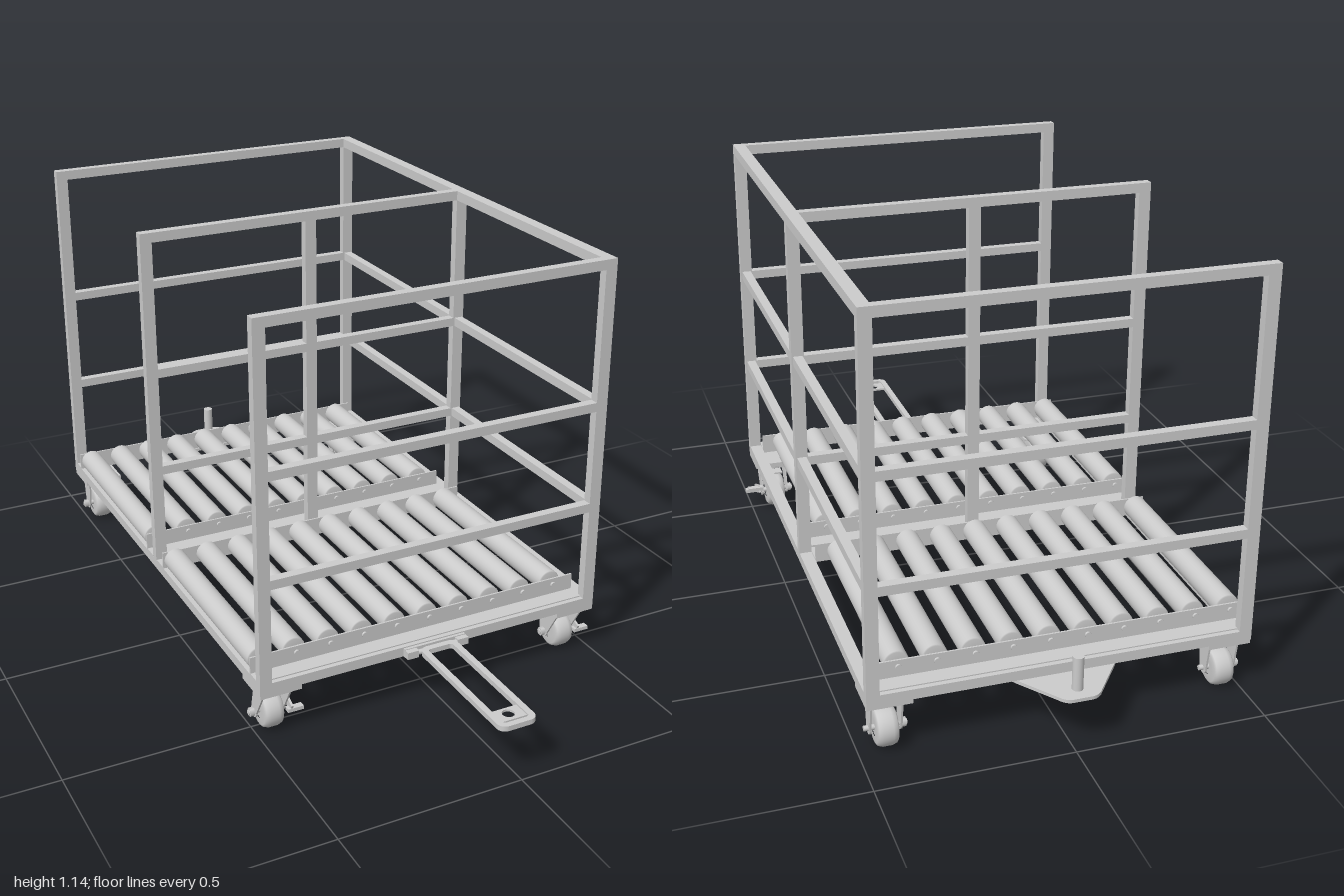
import * as THREE from 'three';

const mat = new THREE.MeshStandardMaterial({ color: 0xcccccc });
// outer limits of the welded frame
const X0 = -0.51, X1 = 0.485, Z0 = -0.885, Z1 = 0.59;
const TW = 0.033, TD = 0.025; // tube width and depth
const MIDX = -0.014, MIDZ = -0.149;

function add(parent, name, geo, x = 0, y = 0, z = 0) {
  const m = new THREE.Mesh(geo, mat);
  m.name = name;
  m.position.set(x, y, z);
  parent.add(m);
  return m;
}

// box given by its limits on each axis
function span(parent, name, x0, x1, y0, y1, z0, z1) {
  return add(parent, name, new THREE.BoxGeometry(x1 - x0, y1 - y0, z1 - z0),
    (x0 + x1) / 2, (y0 + y1) / 2, (z0 + z1) / 2);
}

// outline drawn in x/z, laid flat with its top at height y
function flat(parent, name, shape, thickness, y) {
  const g = new THREE.ExtrudeGeometry(shape, { depth: thickness, bevelEnabled: false, curveSegments: 16 });
  return add(parent, name, g.rotateX(Math.PI / 2), 0, y, 0);
}

function rod(parent, name, r, length, axis, x, y, z, sides = 24) {
  const g = new THREE.CylinderGeometry(r, r, length, sides);
  if (axis === 'x') g.rotateZ(Math.PI / 2);
  if (axis === 'z') g.rotateX(Math.PI / 2);
  return add(parent, name, g, x, y, z);
}

function roundedRect(path, x0, x1, y0, y1, r) {
  path.moveTo(x0 + r, y0);
  path.lineTo(x1 - r, y0);
  path.absarc(x1 - r, y0 + r, r, -Math.PI / 2, 0);
  path.absarc(x1 - r, y1 - r, r, 0, Math.PI / 2);
  path.absarc(x0 + r, y1 - r, r, Math.PI / 2, Math.PI);
  path.absarc(x0 + r, y0 + r, r, Math.PI, Math.PI * 1.5);
  return path;
}

function group(parent, name) {
  const g = new THREE.Group();
  g.name = name;
  parent.add(g);
  return g;
}

const RAILS = [[0.44, 0.465], [0.73, 0.755], [1.113, 1.14]];

function buildFrame(root) {
  const base = group(root, 'baseFrame');
  for (const x of [X0, X1 - TW]) span(base, 'baseSideTube', x, x + TW, 0.15, 0.177, Z0, Z1);
  for (const z of [Z0, MIDZ - TD / 2, Z1 - TD])
    span(base, 'baseCrossTube', X0 + TW, X1 - TW, 0.15, 0.177, z, z + TD);

  // three cross panels, open on the loading side
  const cage = group(root, 'cage');
  for (const z of [Z0, MIDZ - TD / 2, Z1 - TD]) {
    for (const x of [X0, X1 - TW]) span(cage, 'post', x, x + TW, 0.177, 1.113, z, z + TD);
    RAILS.forEach(([a, b], i) => {
      const end = i === 2 ? 0 : TW;
      span(cage, 'crossRail', X0 + end, X1 - TW, a, b, z, z + TD);
    });
  }
  span(cage, 'centrePost', MIDX - TW / 2, MIDX + TW / 2, 0.177, 1.113, MIDZ - TD / 2, MIDZ + TD / 2);

  // closed side panel
  RAILS.forEach(([a, b], i) => {
    if (i === 2) span(cage, 'sideTopRail', X1 - TW, X1, a, b, Z0, Z1);
    else {
      span(cage, 'sideRail', X1 - TW + 0.004, X1 - 0.004, a, b, Z0 + TD, MIDZ - TD / 2);
      span(cage, 'sideRail', X1 - TW + 0.004, X1 - 0.004, a, b, MIDZ + TD / 2, Z1 - TD);
    }
  });
}

// roller bed between two angle irons, from za (rear) to zb (front)
function buildBed(root, za, zb) {
  const bed = group(root, 'rollerBed');
  const y = 0.207, zm = (za + zb) / 2, length = zb - za, r = 0.032, h = length / 2;
  const profile = [[0.008, -h], [r - 0.003, -h], [r, -h + 0.003], [r, h - 0.003], [r - 0.003, h], [0.008, h]]
    .map(p => new THREE.Vector2(...p));
  for (let i = 0; i < 10; i++) {
    const x = -0.478 + i * 0.0965;
    add(bed, 'roller', new THREE.LatheGeometry(profile, 28).rotateX(Math.PI / 2), x, y, zm);
    rod(bed, 'rollerAxle', 0.008, length + 0.044, 'z', x, y, zm, 12);
  }
  for (const [z, s] of [[za, -1], [zb, 1]]) {
    const face = z + s * 0.011, inner = face + s * 0.005, outer = z + s * 0.062;
    span(bed, 'angleIronFace', X0, X1 - TW, 0.177, 0.225, Math.min(face, inner), Math.max(face, inner));
    span(bed, 'angleIronFoot', X0, X1 - TW, 0.173, 0.18, Math.min(face, outer), Math.max(face, outer));
  }
}

// caster: the wheel trails behind the swivel by the given offset
function buildCaster(root, x, z, plateZ, trail, braked) {
  const c = group(root, braked ? 'brakedCaster' : 'fixedCaster');
  c.position.set(x, 0, z);
  const pz = plateZ - z;
  span(c, 'casterPlate', -0.057, 0.057, 0.137, 0.15, pz - 0.055, pz + 0.055);
  rod(c, 'swivelHead', 0.034, 0.014, 'y', 0, 0.13, trail);
  span(c, 'forkCrown', -0.043, 0.043, 0.118, 0.125, trail - 0.028, trail + 0.028);

  const tyre = [[0.022, -0.027], [0.04, -0.027], [0.046, -0.023], [0.05, -0.012], [0.05, 0.012],
    [0.046, 0.023], [0.04, 0.027], [0.022, 0.027]].map(p => new THREE.Vector2(...p));
  add(c, 'wheel', new THREE.LatheGeometry(tyre, 32).rotateZ(Math.PI / 2), 0, 0.05, 0);
  rod(c, 'wheelHub', 0.023, 0.05, 'x', 0, 0.05, 0);
  rod(c, 'wheelAxle', 0.007, 0.108, 'x', -0.002, 0.05, 0, 12);
  rod(c, 'axleNut', 0.012, 0.012, 'x', -0.047, 0.05, 0, 6);

  const fork = new THREE.Shape();
  fork.moveTo(trail - 0.028, 0.122);
  fork.lineTo(-0.016, 0.05);
  fork.absarc(0, 0.05, 0.016, Math.PI, Math.PI * 2);
  fork.lineTo(trail + 0.028, 0.122);
  const side = new THREE.ExtrudeGeometry(fork, { depth: 0.005, bevelEnabled: false }).rotateY(-Math.PI / 2);
  for (const sx of [-0.036, 0.041]) add(c, 'forkSide', side, sx, 0, 0);

  // brake lever with its two foot bars
  if (braked) {
    add(c, 'brakeLever', new THREE.BoxGeometry(0.006, 0.025, 0.075), 0.053, 0.06, -0.005).rotation.x = 0.4;
    span(c, 'brakeFootBar', 0.042, 0.086, 0.07, 0.08, -0.044, -0.026);
    span(c, 'brakeFootBar', 0.042, 0.086, 0.038, 0.048, 0.014, 0.032);
    span(c, 'brakePad', -0.026, 0.045, 0.104, 0.109, -0.012, 0.02);
  }
}

function buildTowBar(root) {
  const bar = group(root, 'towBar');
  const loop = roundedRect(new THREE.Shape(), -0.066, 0.04, 0.6, 1.0, 0.022);
  loop.holes.push(roundedRect(new THREE.Path(), -0.049, 0.023, 0.617, 0.984, 0.008));
  flat(bar, 'towLoop', loop, 0.014, 0.169);
  // eye plate at the far end
  const eye = roundedRect(new THREE.Shape(), -0.052, 0.026, 0.925, 0.974, 0.002);
  eye.holes.push(new THREE.Path().absarc(MIDX, 0.948, 0.016, 0, Math.PI * 2));
  flat(bar, 'towEyePlate', eye, 0.006, 0.165);
  // hinge bracket
  span(bar, 'hingeBracket', -0.105, 0.075, 0.15, 0.174, Z1, Z1 + 0.008);
  for (const x of [-0.105, 0.043]) span(bar, 'hingeLug', x, x + 0.032, 0.152, 0.172, Z1 + 0.008, Z1 + 0.024);
  rod(bar, 'hingePin', 0.007, 0.17, 'x', -0.015, 0.162, Z1 + 0.016, 16);
}

function buildHitch(root) {
  const hitch = group(root, 'rearHitch');
  const s = new THREE.Shape();
  s.moveTo(-0.16, -0.855);
  s.lineTo(-0.14, Z0);
  s.lineTo(-0.068, -0.98);
  s.quadraticCurveTo(-0.055, -1, -0.035, -1);
  s.lineTo(0.01, -1);
  s.quadraticCurveTo(0.03, -1, 0.042, -0.98);
  s.lineTo(0.112, Z0);
  s.lineTo(0.132, -0.855);
  flat(hitch, 'hitchPlate', s, 0.009, 0.15);
  rod(hitch, 'hitchPin', 0.014, 0.1, 'y', MIDX, 0.19, -0.958);
}

export function createModel() {
  const root = new THREE.Group();
  root.name = 'rollerCart';
  buildFrame(root);
  buildBed(root, -0.07, 0.515);
  buildBed(root, -0.81, -0.225);
  for (const x of [-0.453, 0.427]) {
    buildCaster(root, x, 0.507, 0.535, 0.03, true);
    buildCaster(root, x, -0.825, -0.827, 0, false);
  }
  buildTowBar(root);
  buildHitch(root);
  return root;
}
